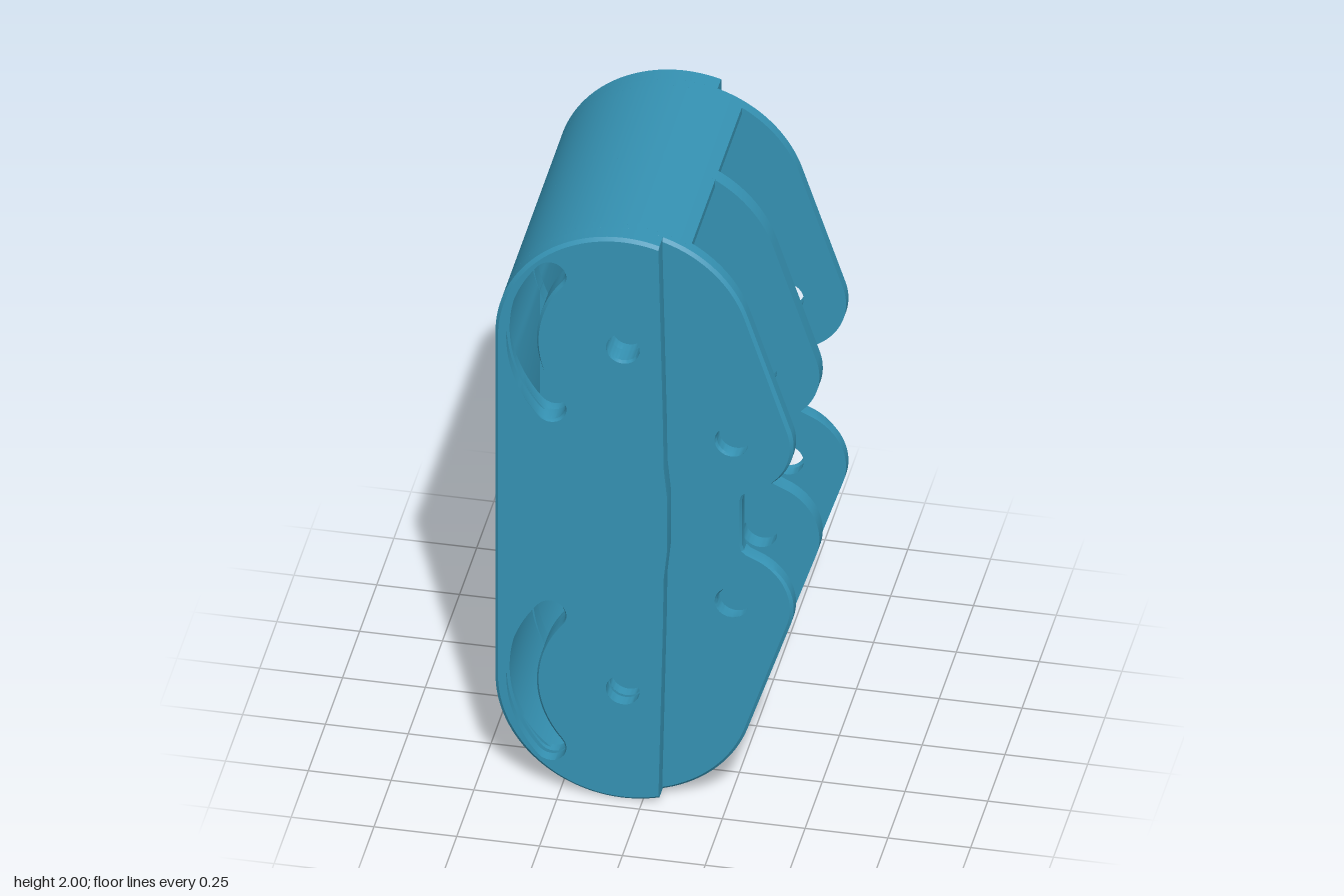
import * as THREE from 'three';
import { toCreasedNormals } from 'three/addons/utils/BufferGeometryUtils.js';

const CX = -0.06, CY = 1.615, R = 0.385; // upper end of the capsule body
const LX = 0.265, LY = 1.29, LR = 0.18;  // upper lobe

// Points along an arc, angles in degrees
function arc(cx, cy, r, from, to, n) {
  return Array.from({ length: n + 1 }, (_, i) => {
    const a = THREE.MathUtils.degToRad(from + (to - from) * i / n);
    return new THREE.Vector2(cx + r * Math.cos(a), cy + r * Math.sin(a));
  });
}

const flip = (points) => points.map((p) => new THREE.Vector2(p.x, 2 - p.y)).reverse();
const points = (...list) => list.map(([x, y]) => new THREE.Vector2(x, y));

// Closed shape from its upper half, mirrored about y = 1
const mirrored = (half) => new THREE.Shape([...half, ...flip(half)]);

// Pivot holes and curved slots, with optional lobe holes
function addHoles(shape, withLobes) {
  const slot = [
    ...arc(0, 1.61, 0.42, 140, 220, 24),
    ...arc(0.37 * Math.cos(Math.PI * 220 / 180), 1.61 + 0.37 * Math.sin(Math.PI * 220 / 180), 0.05, 220, 400, 10).slice(1),
    ...arc(0, 1.61, 0.32, 220, 140, 24).slice(1),
    ...arc(0.37 * Math.cos(Math.PI * 140 / 180), 1.61 + 0.37 * Math.sin(Math.PI * 140 / 180), 0.05, -40, 140, 10).slice(1, -1),
  ];
  const holes = [slot, arc(CX, CY, 0.052, 0, 352.5, 47)];
  if (withLobes) holes.push(arc(LX, LY, 0.052, 0, 352.5, 47));
  for (const hole of holes) shape.holes.push(new THREE.Path(hole), new THREE.Path(flip(hole)));
  return shape;
}

// Slab from z0 to z1, with an optional chamfer around its outer face
function slab(shape, z0, z1, chamfer = 0) {
  const depth = z1 - z0;
  const geometry = new THREE.ExtrudeGeometry(shape, { depth, steps: 2, bevelEnabled: false });
  const pos = geometry.attributes.position;
  for (let i = 0; i < pos.count; i++) {
    const z = pos.getZ(i);
    if (chamfer && z > depth * 0.75) {
      pos.setX(i, pos.getX(i) * (1 - chamfer * 2.2));
      pos.setY(i, 1 + (pos.getY(i) - 1) * (1 - chamfer));
    } else if (chamfer && z > depth * 0.25) {
      pos.setZ(i, depth - chamfer);
    }
  }
  geometry.translate(0, 0, z0);
  geometry.computeVertexNormals();
  return toCreasedNormals(geometry, 0.45);
}

export function createModel() {
  const model = new THREE.Group();
  model.name = 'linkHousing';
  const material = new THREE.MeshStandardMaterial({ color: 0x3592b3 });
  const add = (parent, name, geometry) => {
    const mesh = new THREE.Mesh(geometry, material);
    mesh.name = name;
    parent.add(mesh);
  };

  // Capsule body with two lobes and a notch between them
  const plate = addHoles(mirrored([
    ...arc(CX, CY, R, 180, 17.9, 48),
    ...arc(LX, LY, LR, 17.9, -63, 24),
    ...points([0.308, 1.112], [0.295, 1.1], [0.289, 1.08]),
  ]), true);

  // Thicker cheek on the back half of each side
  const cheek = addHoles(mirrored([
    ...arc(CX, CY, R, 180, 73.4, 36),
    ...points([0.064, 1.35], [0.066, 1.2], [0.076, 1.1]),
  ]), false);

  // Thin wall wrapped round the back, open at the front
  const innerHalf = arc(CX, CY, 0.365, 58.6, 201.7, 40);
  const outerHalf = arc(CX, CY, R, 60.4, 180, 40);
  const wall = new THREE.Shape([
    ...outerHalf, ...flip(outerHalf),
    ...innerHalf.map((p) => new THREE.Vector2(p.x, 2 - p.y)), ...[...innerHalf].reverse(),
  ]);
  add(model, 'backWall', slab(wall, -0.38, 0.38));

  add(model, 'middlePlate', slab(plate, -0.025, 0.025));

  // Side plates; the shape is symmetric in y, so a half turn about x mirrors it
  for (const side of ['front', 'back']) {
    const group = new THREE.Group();
    group.name = side + 'Side';
    add(group, side + 'Plate', slab(plate, 0.365, 0.41, 0.01));
    add(group, side + 'Cheek', slab(cheek, 0.398, 0.46, 0.01));
    if (side === 'back') {
      group.rotation.x = Math.PI;
      group.position.y = 2;
    }
    model.add(group);
  }
  return model;
}
